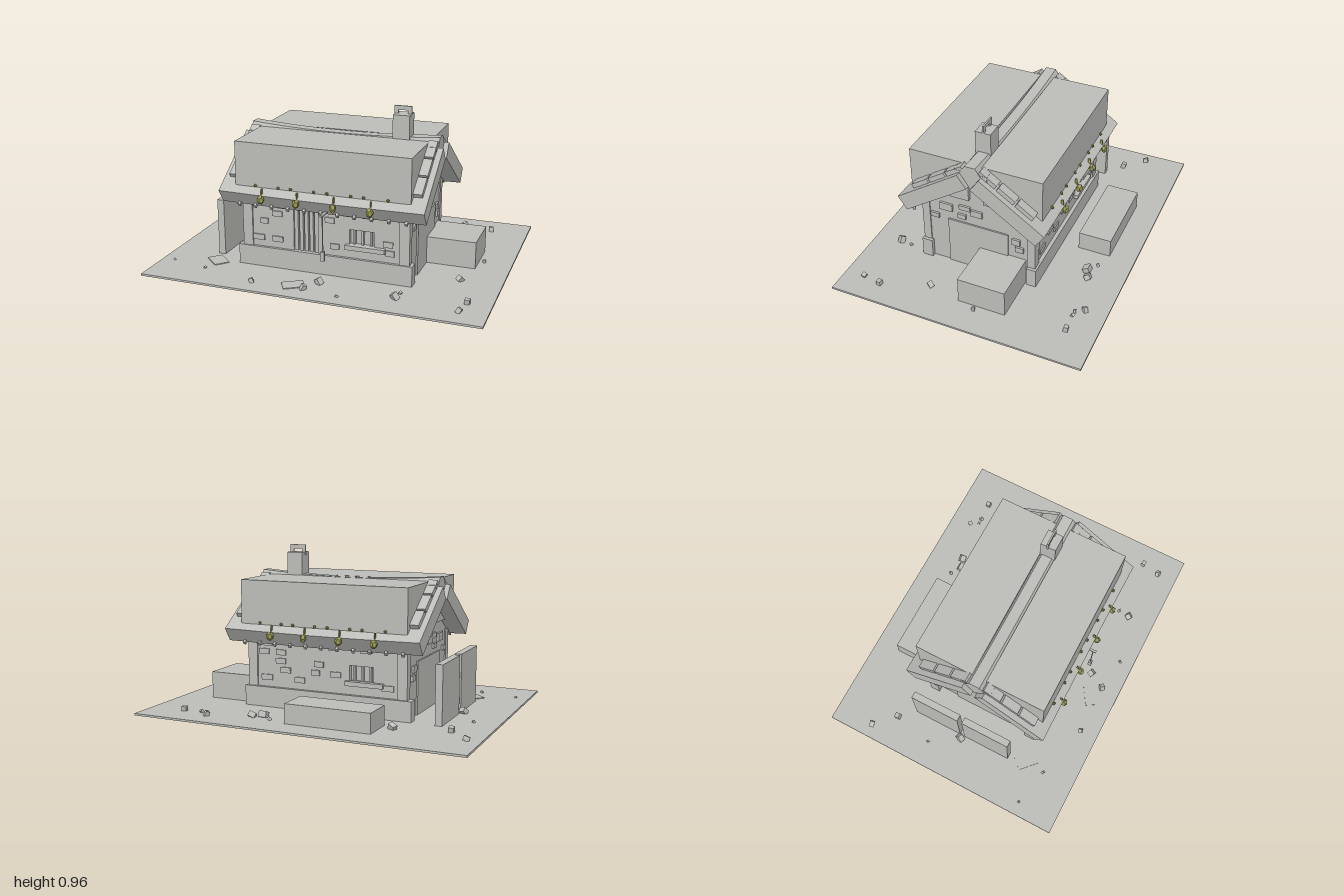
import * as THREE from 'three';

export function createModel() {
  const root = new THREE.Group();
  root.name = 'cottage';
  const stone = new THREE.MeshStandardMaterial({ color: 0xbcbcb8 });
  stone.name = 'grey stone';
  const leaf = new THREE.MeshStandardMaterial({ color: 0x9a9a55 });
  leaf.name = 'moss green';
  const ridgeZ = 0.06;

  let seed = 7;
  const rand = () => (seed = (seed * 16807) % 2147483647) / 2147483647;

  function add(name, geo, mat = stone, parent = root) {
    const m = new THREE.Mesh(geo, mat);
    m.name = name;
    parent.add(m);
    return m;
  }
  // Box given by its limits on each axis
  function block(name, x0, x1, y0, y1, z0, z1, mat = stone, parent = root) {
    const m = add(name, new THREE.BoxGeometry(x1 - x0, y1 - y0, z1 - z0), mat, parent);
    m.position.set((x0 + x1) / 2, (y0 + y1) / 2, (z0 + z1) / 2);
    return m;
  }
  function rectPath(x0, x1, y0, y1, Type = THREE.Path) {
    const p = new Type();
    p.moveTo(x0, y0); p.lineTo(x1, y0); p.lineTo(x1, y1); p.lineTo(x0, y1);
    p.closePath();
    return p;
  }
  // Lower the middle of a part along x, like an old roof
  function sag(geo, amount) {
    const p = geo.attributes.position;
    for (let i = 0; i < p.count; i++) {
      const t = Math.min(1, Math.abs(p.getX(i)) / 0.58);
      p.setY(i, p.getY(i) - amount * (1 - t * t));
    }
    geo.computeVertexNormals();
    return geo;
  }

  // Ground and foundation
  block('ground', -1, 1, 0.008, 0.02, -0.77, 0.77);
  block('plinthFront', -0.535, 0.525, 0.01, 0.14, 0.36, 0.425);
  block('plinthBack', -0.535, 0.525, 0.01, 0.14, -0.31, -0.25);

  // Inner core with gable ends
  const gable = new THREE.Shape();
  gable.moveTo(-0.32, 0.01); gable.lineTo(0.32, 0.01); gable.lineTo(0.32, 0.46);
  gable.lineTo(0, 0.68); gable.lineTo(-0.32, 0.46); gable.closePath();
  const core = add('gableWalls', new THREE.ExtrudeGeometry(gable, { depth: 1.0, bevelEnabled: false }));
  core.rotation.y = Math.PI / 2;
  core.position.set(-0.5, 0, ridgeZ);

  // Everything that repeats on the front and the back
  for (const side of [1, -1]) {
    const half = new THREE.Group();
    half.name = side > 0 ? 'frontHalf' : 'backHalf';
    half.position.z = ridgeZ;
    half.rotation.y = side > 0 ? 0 : Math.PI;
    root.add(half);

    // Long wall with openings
    const wall = rectPath(-0.5, 0.505, 0.02, 0.46, THREE.Shape);
    if (side > 0) wall.holes.push(rectPath(-0.19, -0.04, 0.14, 0.4));
    wall.holes.push(rectPath(0.15, 0.3, 0.22, 0.31));
    add('longWall', new THREE.ExtrudeGeometry(wall, { depth: 0.03, bevelEnabled: false }), stone, half).position.z = 0.318;
    if (side > 0) {
      for (let i = 0; i < 5; i++) block('doorSlat', -0.188 + i * 0.031, -0.166 + i * 0.031, 0.14, 0.4, 0.322, 0.34, stone, half);
    }
    for (const x of [0.17, 0.22, 0.27]) block('windowBar', x, x + 0.012, 0.22, 0.31, 0.32, 0.34, stone, half);
    block('windowSill', 0.13, 0.365, 0.195, 0.222, 0.34, 0.375, stone, half);

    // Corner posts
    for (const x of [-0.477, 0.477]) block('cornerPost', x - 0.03, x + 0.03, 0.02, 0.45, 0.31, 0.358, stone, half);

    // Loose wall stones
    for (let row = 0; row < 5; row++) {
      for (let col = 0; col < 8; col++) {
        const x = -0.39 + col * 0.11 + (rand() - 0.5) * 0.04, y = 0.18 + row * 0.052;
        const w = 0.045 + rand() * 0.03;
        const opening = (side > 0 && x > -0.25 && x < 0.02) || (x > 0.08 && x < 0.38 && y > 0.16 && y < 0.34);
        if (rand() < 0.55 && !opening) block('wallStone', x - w / 2, x + w / 2, y, y + 0.033, 0.34, 0.356, stone, half);
      }
    }

    // Sloping roof slab
    const slab = add('roofSlab', sag(new THREE.BoxGeometry(1.22, 0.096, 0.47, 12, 1, 1), 0.008), stone, half);
    slab.position.set(0, 0.583, 0.232);
    slab.rotation.x = 0.599;
    // Verge tiles beside the thatch block
    for (const x of [-0.548, 0.548]) {
      for (let i = 0; i < 3; i++) {
        const tile = add('vergeTile', new THREE.BoxGeometry(0.055, 0.03, 0.12), stone, half);
        tile.position.set(x, 0.745 - i * 0.075, 0.1 + i * 0.11);
        tile.rotation.x = 0.599;
      }
    }
    // Raised thatch block
    block('thatchBlock', -0.523, 0.523, 0.52, 0.78, 0.045, 0.405, stone, half);

    // Rafter ends
    for (let i = 0; i < 11; i++) {
      const r = add('rafterEnd', new THREE.BoxGeometry(0.016, 0.02, 0.1), stone, half);
      r.position.set(-0.5 + i * 0.1, 0.432, 0.375);
      r.rotation.x = 0.599;
    }

    // Moss clumps hanging from the eaves
    [-0.345, -0.13, 0.09, 0.305].forEach((x, i) => {
      const clump = add('mossClump', new THREE.DodecahedronGeometry(0.026, 0), leaf, half);
      clump.position.set(x * side, 0.465, 0.458);
      clump.scale.set(0.85, 1.05, 0.75);
      clump.rotation.y = i;
      block('mossStem', x * side - 0.003, x * side + 0.003, 0.46, 0.525, 0.43, 0.445, leaf, half);
      for (const d of [-0.05, 0.09]) {
        const tuft = add('mossTuft', new THREE.IcosahedronGeometry(0.01, 0), leaf, half);
        tuft.position.set((x + d) * side, 0.53, 0.412);
      }
    });
  }

  // Sagging ridge
  const cap = new THREE.Shape();
  [[-0.08, 0.73], [0, 0.66], [0.08, 0.73], [0.032, 0.805], [-0.032, 0.805]].forEach(([x, y], i) => i ? cap.lineTo(x, y) : cap.moveTo(x, y));
  cap.closePath();
  const capGeo = new THREE.ExtrudeGeometry(cap, { depth: 1.16, steps: 12, bevelEnabled: false });
  capGeo.translate(0, 0, -0.58).rotateY(Math.PI / 2);
  add('ridgeCap', sag(capGeo, 0.025)).position.z = ridgeZ;
  for (const x of [-0.55, 0.55]) block('ridgeEnd', x - 0.027, x + 0.027, 0.7, 0.765, ridgeZ - 0.1, ridgeZ + 0.1);

  // Chimney with a broken upright slab
  block('chimney', 0.305, 0.405, 0.7, 0.92, 0.015, 0.11);
  block('chimneySlabLeft', 0.3, 0.325, 0.9, 0.965, 0.055, 0.065);
  block('chimneySlabRight', 0.38, 0.405, 0.9, 0.965, 0.055, 0.065);
  block('chimneySlabTop', 0.325, 0.38, 0.94, 0.965, 0.055, 0.065);

  // Side wall panel and stones: z, y, width, height
  for (const s of [1, -1]) {
    block('sidePanel', s * 0.504 - 0.005, s * 0.504 + 0.005, 0.02, 0.335, -0.13, 0.25);
    const stones = [[0.26, 0.42, 0.08, 0.05], [0.14, 0.445, 0.07, 0.03], [0.065, 0.425, 0.07, 0.04], [0.16, 0.38, 0.05, 0.03],
      [0.335, 0.34, 0.055, 0.03], [-0.18, 0.3, 0.05, 0.04], [-0.2, 0.25, 0.05, 0.035]];
    for (const [z, y, w, h] of stones) block('sideStone', s * 0.505 - 0.008, s * 0.505 + 0.008, y - h / 2, y + h / 2, z - w / 2, z + w / 2);
  }

  // Hanging lamp on a bracket
  block('lampBracket', 0.025, 0.04, 0.415, 0.424, 0.41, 0.545);
  block('lampChain', 0.03, 0.036, 0.2, 0.42, 0.523, 0.528);
  block('lampBody', 0.022, 0.044, 0.15, 0.205, 0.515, 0.536);

  // Blocks around the house
  block('sideCrate', 0.5, 0.803, 0.015, 0.183, -0.05, 0.24).position.z = -0.095;
  block('backTrough', -0.42, 0.1, 0.015, 0.135, -0.615, -0.415);
  block('standingSlabBack', -0.717, -0.675, 0.015, 0.365, -0.31, 0);
  block('standingSlabFront', -0.717, -0.675, 0.015, 0.365, 0.03, 0.335);

  // Flat paving slabs
  for (const [x, z, a] of [[-0.67, 0.44, -0.75], [-0.11, 0.62, 0.55]]) {
    const p = add('pavingSlab', new THREE.BoxGeometry(0.125, 0.006, 0.09));
    p.position.set(x, 0.022, z);
    p.rotation.y = a;
  }

  // Scattered rubble: x, z, size
  const rubble = [[-0.92, -0.52, 0.022], [-0.8, -0.4, 0.024], [-0.49, -0.475, 0.026], [0.275, -0.535, 0.03], [0.335, -0.56, 0.026],
    [0.21, -0.58, 0.012], [0.59, -0.64, 0.02], [0.62, -0.59, 0.012], [0.655, -0.59, 0.014], [0.77, -0.595, 0.022],
    [0.835, -0.06, 0.014], [0.76, 0.25, 0.024], [0.865, 0.53, 0.022], [0.845, 0.645, 0.02], [0.48, 0.6, 0.026],
    [0.175, 0.685, 0.01], [-0.035, 0.655, 0.022], [0.02, 0.555, 0.026], [-0.35, 0.66, 0.018], [-0.92, 0.52, 0.008],
    [-0.69, 0.57, 0.01], [-0.74, 0.015, 0.026], [-0.85, -0.155, 0.01], [0.49, 0.53, 0.012]];
  for (const [x, z, r] of rubble) {
    const rock = add('rubble', new THREE.BoxGeometry(r * 1.6, r * 1.2, r * 1.3));
    rock.position.set(x, 0.018 + r * 0.6, z);
    rock.rotation.set(rand() * 1.2, rand() * 3, rand() * 1.2);
  }
  return root;
}
